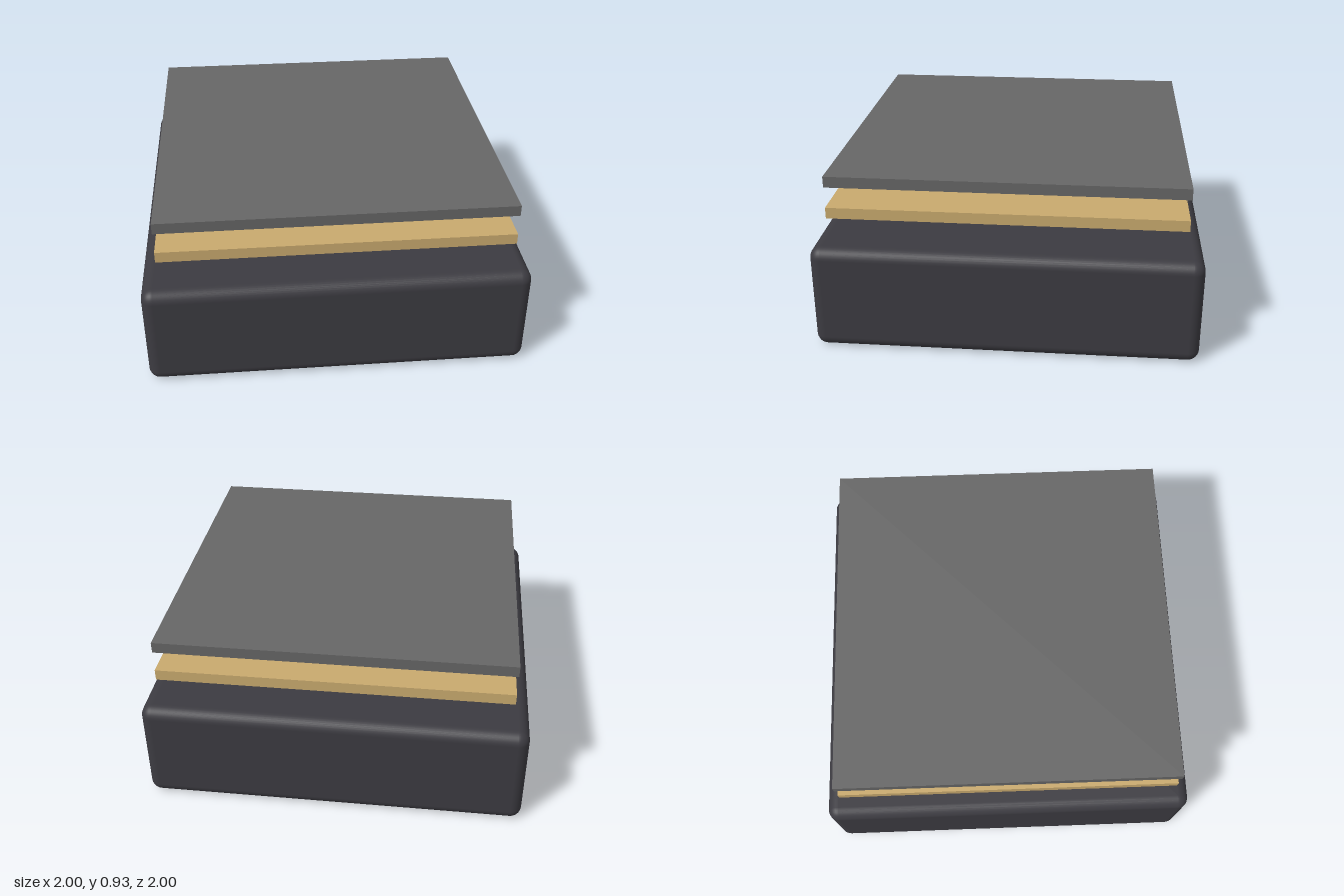
import * as THREE from 'three';
import { RoundedBoxGeometry } from 'three/addons/geometries/RoundedBoxGeometry.js';

const makeMaterial = (name, color) => {
  const material = new THREE.MeshStandardMaterial({ color });
  material.name = name;
  return material;
};

export function createModel() {
  const group = new THREE.Group();
  group.name = 'layeredBlock';

  const charcoal = makeMaterial('charcoal', 0x3c3b41);
  const tan = makeMaterial('tan', 0xc9aa6e);
  const gray = makeMaterial('gray', 0x666666);

  const add = (name, geometry, material, y) => {
    const mesh = new THREE.Mesh(geometry, material);
    mesh.name = name;
    mesh.position.y = y;
    group.add(mesh);
  };

  // Rounded base block
  const baseHeight = 0.564;
  add('base', new RoundedBoxGeometry(2, baseHeight, 2, 4, 0.06), charcoal, baseHeight / 2);

  // Two thin square plates floating above the base
  const plate = new THREE.BoxGeometry(1.824, 0.058, 1.824);
  add('middlePlate', plate, tan, 0.735);
  add('topPlate', plate, gray, 0.904);

  return group;
}
